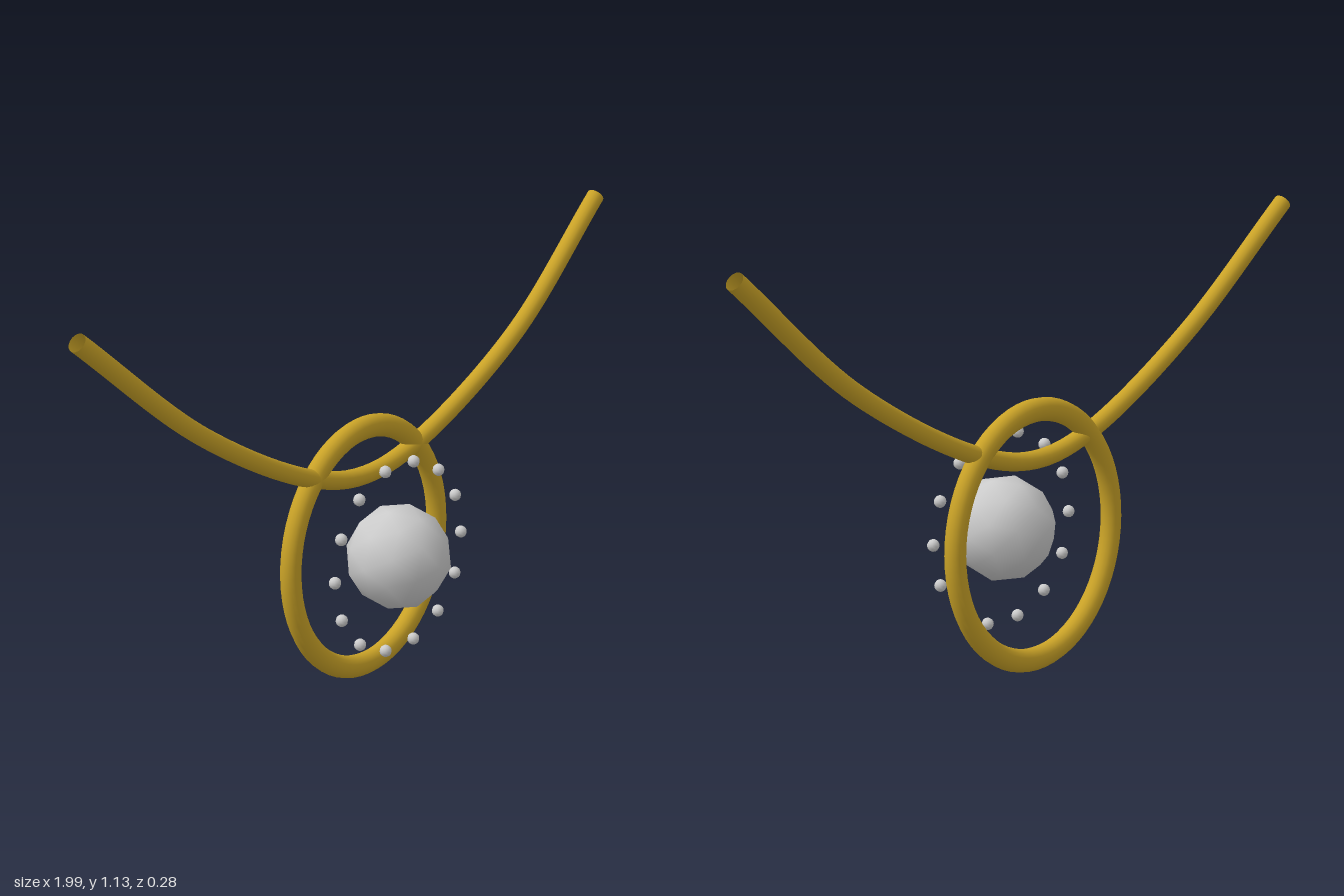
import * as THREE from 'three';

export function createModel() {
  const group = new THREE.Group();
  const gold = new THREE.MeshStandardMaterial({ color: 0xc9a227, side: THREE.DoubleSide });
  const grey = new THREE.MeshStandardMaterial({ color: 0xcccccc });
  const centreY = 0.355;

  const add = (name, geometry, material, x = 0, y = 0, z = 0) => {
    const mesh = new THREE.Mesh(geometry, material);
    mesh.name = name;
    mesh.position.set(x, y, z);
    group.add(mesh);
    return mesh;
  };

  // Necklace cord: one half of the path, mirrored to the other side
  const half = [[0.98, 1.115, -0.115], [0.6, 0.803, -0.1], [0.2, 0.592, -0.109]];
  const path = new THREE.CatmullRomCurve3([
    ...half.map(([x, y, z]) => new THREE.Vector3(-x, y, z)),
    new THREE.Vector3(0, 0.552, -0.112),
    ...half.map(([x, y, z]) => new THREE.Vector3(x, y, z)).reverse(),
  ]);
  add('cord', new THREE.TubeGeometry(path, 64, 0.024, 16, false), gold);

  // Oval pendant frame
  const frame = add('pendantFrame', new THREE.TorusGeometry(0.288, 0.027, 16, 64), gold, 0, centreY, -0.112);
  frame.scale.y = 1.127;

  // Central stone: coarse ball with one vertex pointing to the front
  const stone = new THREE.IcosahedronGeometry(0.138, 1);
  stone.rotateX(Math.atan(2 / (1 + Math.sqrt(5))));
  add('centreStone', stone, grey, 0, centreY, 0);

  // Circle of small beads around the stone
  const bead = new THREE.SphereGeometry(0.016, 10, 8);
  const count = 14;
  for (let i = 0; i < count; i++) {
    const a = (i / count) * Math.PI * 2;
    add('bead', bead, grey, 0.25 * Math.cos(a), centreY + 0.25 * Math.sin(a), 0.003);
  }

  return group;
}
